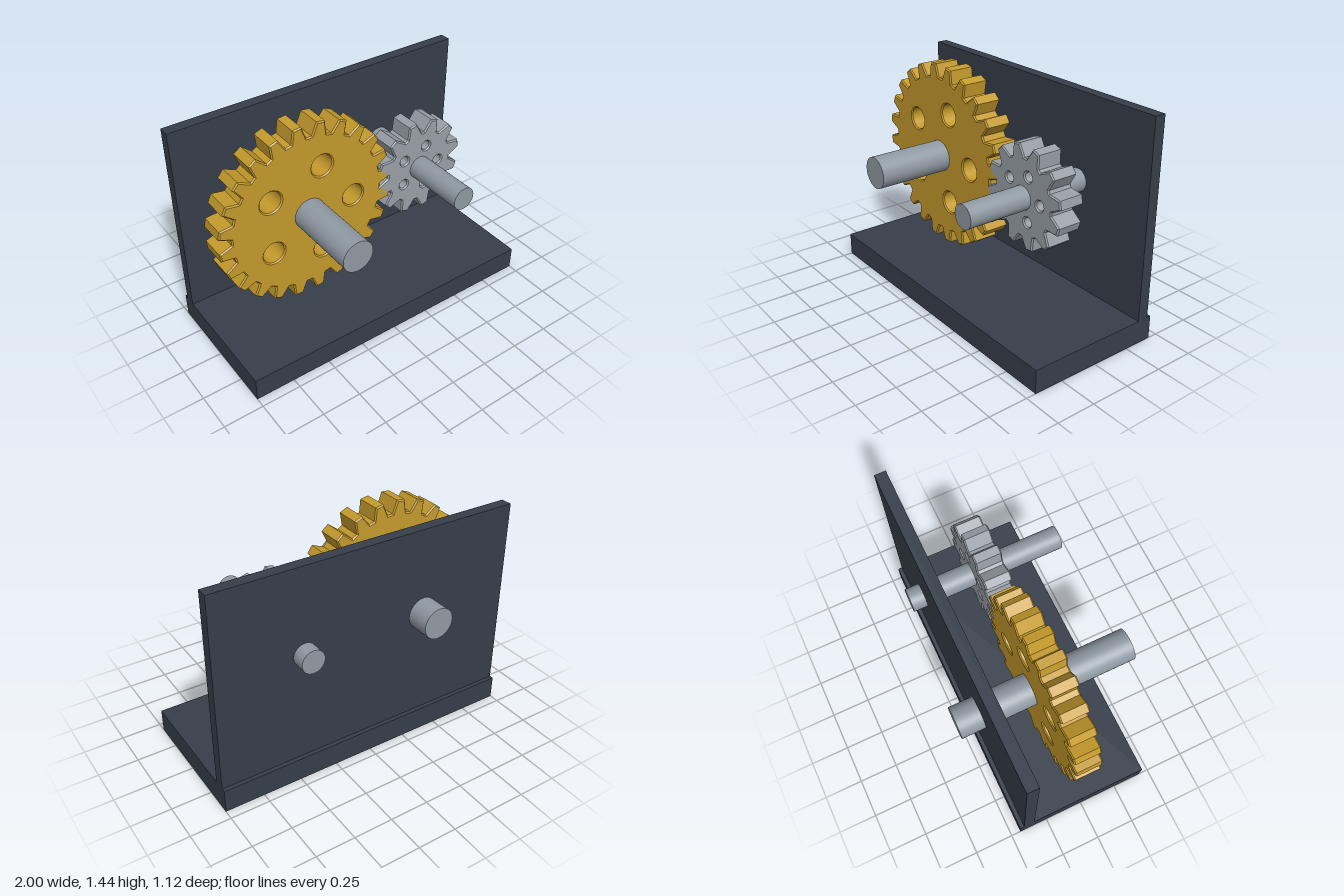
import * as THREE from 'three';

const deg = Math.PI / 180;
const axleY = 0.852;

function material(name, color) {
  const m = new THREE.MeshStandardMaterial({ color });
  m.name = name;
  return m;
}

// Spur gear with straight-sided teeth, a ring of five holes and chamfered faces
function gearGeometry({ teeth, tip, root, tipHalf, rootHalf, phase, holeRing, holeRadius }) {
  const thickness = 0.17, bevel = 0.008;
  const points = [];
  for (let i = 0; i < teeth; i++) {
    const a = phase + (i * 360) / teeth;
    for (const [r, off] of [[root, -rootHalf], [tip, -tipHalf], [tip, tipHalf], [root, rootHalf]]) {
      const t = (a + off) * deg;
      points.push(new THREE.Vector2(r * Math.cos(t), r * Math.sin(t)));
    }
  }
  const shape = new THREE.Shape(points);
  for (let i = 0; i < 5; i++) {
    const t = i * 72 * deg;
    const hole = new THREE.Path();
    hole.absarc(holeRing * Math.cos(t), holeRing * Math.sin(t), holeRadius, 0, Math.PI * 2, true);
    shape.holes.push(hole);
  }
  const geometry = new THREE.ExtrudeGeometry(shape, {
    depth: thickness - 2 * bevel,
    curveSegments: 16,
    bevelEnabled: true,
    bevelThickness: bevel,
    bevelSize: bevel,
    bevelOffset: -bevel,
    bevelSegments: 1,
  });
  geometry.translate(0, 0, bevel - thickness / 2);
  return geometry;
}

export function createModel() {
  const model = new THREE.Group();
  model.name = 'gearPairOnStand';

  const darkFrame = material('dark frame', 0x363e4a);
  const brass = material('brass', 0xc49a2c);
  const steel = material('steel', 0x8f99a2);
  const lightSteel = material('light steel', 0x989fa7);

  function add(name, geometry, mat, x, y, z) {
    const mesh = new THREE.Mesh(geometry, mat);
    mesh.name = name;
    mesh.position.set(x, y, z);
    model.add(mesh);
  }

  // Stand
  add('basePlate', new THREE.BoxGeometry(2, 0.15, 0.876), darkFrame, 0, 0.075, 0);
  add('backPlate', new THREE.BoxGeometry(2, 1.25, 0.072), darkFrame, 0, 0.775, -0.375);

  // Axles running front to back through the back plate
  function axle(name, radius, length, x) {
    const geometry = new THREE.CylinderGeometry(radius, radius, length, 48);
    geometry.rotateX(Math.PI / 2);
    add(name, geometry, steel, x, axleY, 0);
  }
  axle('largeAxle', 0.1, 1.125, -0.376);
  axle('smallAxle', 0.074, 1.0, 0.44);

  // Gears
  add('largeGear', gearGeometry({
    teeth: 24, tip: 0.591, root: 0.51, tipHalf: 2.7, rootHalf: 5.5,
    phase: 5.7, holeRing: 0.308, holeRadius: 0.07,
  }), brass, -0.376, axleY, 0);
  add('smallGear', gearGeometry({
    teeth: 12, tip: 0.322, root: 0.245, tipHalf: 4.8, rootHalf: 12.5,
    phase: 11, holeRing: 0.147, holeRadius: 0.03,
  }), lightSteel, 0.44, axleY, 0);

  return model;
}
